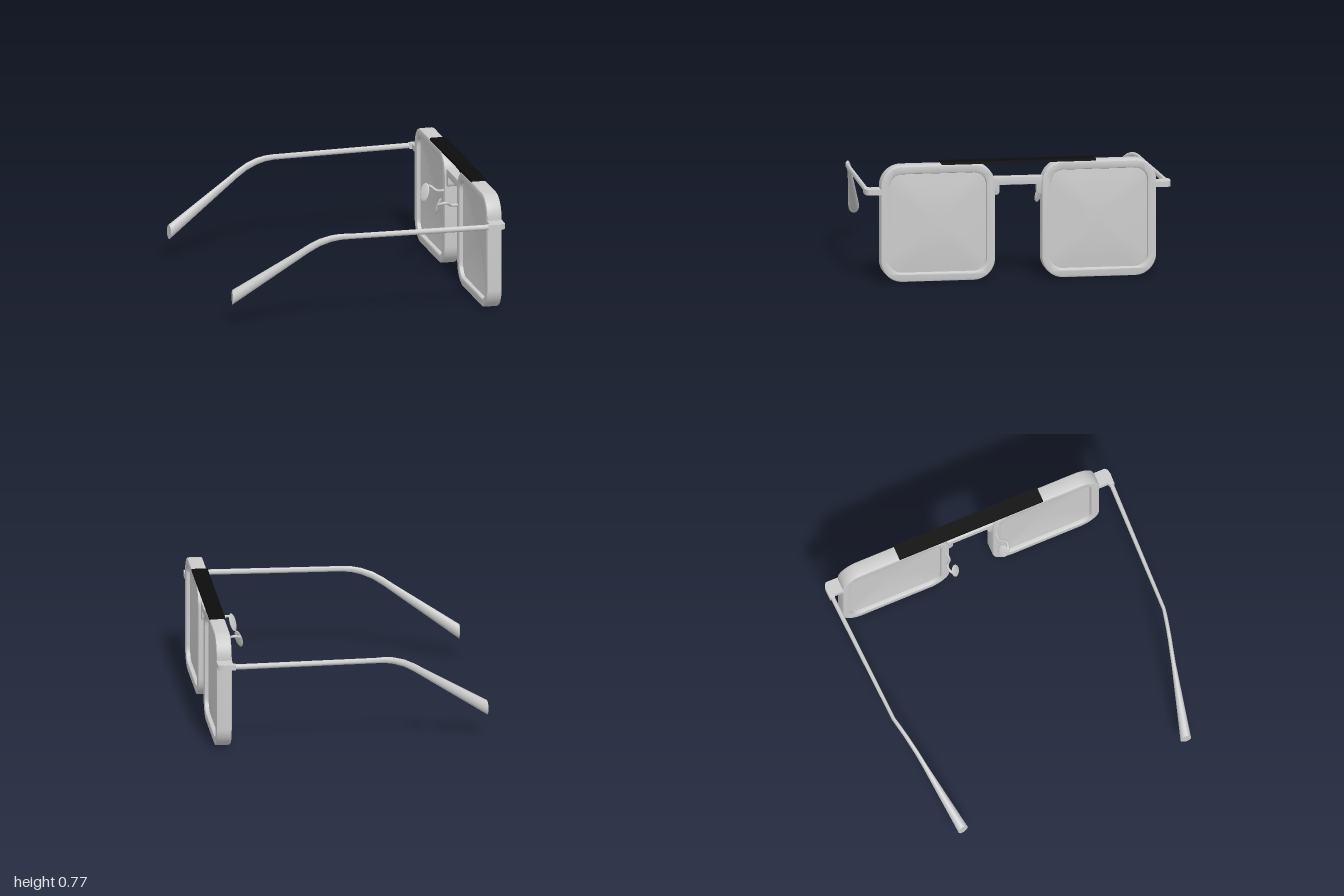
import * as THREE from 'three';
import { toCreasedNormals } from 'three/addons/utils/BufferGeometryUtils.js';

const grey = new THREE.MeshStandardMaterial({ color: 0xcccccc, side: THREE.DoubleSide });
const black = new THREE.MeshStandardMaterial({ color: 0x0c0c0c });

function part(name, geometry, material = grey) {
  const mesh = new THREE.Mesh(geometry, material);
  mesh.name = name;
  return mesh;
}

// Rounded rectangle centred on the origin
function roundedRect(w, h, r, Type = THREE.Shape) {
  const s = new Type(), x = w / 2, y = h / 2;
  s.absarc(x - r, y - r, r, 0, Math.PI / 2);
  s.absarc(-x + r, y - r, r, Math.PI / 2, Math.PI);
  s.absarc(-x + r, -y + r, r, Math.PI, Math.PI * 1.5);
  s.absarc(x - r, -y + r, r, Math.PI * 1.5, Math.PI * 2);
  s.closePath();
  return s;
}

// Skin over a list of closed rings with equal point counts
function loft(rings, crease) {
  const n = rings[0].length, index = [];
  for (let i = 0; i < rings.length - 1; i++) {
    for (let j = 0; j < n; j++) {
      const a = i * n + j, b = i * n + (j + 1) % n;
      index.push(a, b, a + n, b, b + n, a + n);
    }
  }
  const g = new THREE.BufferGeometry().setFromPoints(rings.flat());
  g.setIndex(index);
  return toCreasedNormals(g, crease);
}

// Extrude a z-y outline along x, from x0 to x1
function extrudeX(shape, x0, x1, bevel) {
  const g = new THREE.ExtrudeGeometry(shape, {
    depth: x1 - x0 - 2 * bevel, bevelEnabled: bevel > 0, bevelThickness: bevel,
    bevelSize: bevel, bevelOffset: -bevel, bevelSegments: 2, curveSegments: 8,
  });
  g.rotateY(Math.PI / 2);
  g.translate(x0 + bevel, 0, 0);
  return toCreasedNormals(g, 0.6);
}

// Frame ring around one lens
function rim() {
  const shape = roundedRect(0.745, 0.76, 0.14);
  shape.holes.push(roundedRect(0.63, 0.645, 0.08, THREE.Path));
  return part('rim', extrudeX(shape, 0.785, 0.885, 0.01));
}

// Lens curved forward, with a front and a back face
function lens() {
  const outline = roundedRect(0.65, 0.665, 0.09).getPoints(6);
  if (outline[0].distanceTo(outline[outline.length - 1]) < 1e-6) outline.pop();
  const ring = (t, x) => outline.map(p => new THREE.Vector3(x, p.y * t, -p.x * t));
  const steps = [0.001, 0.2, 0.4, 0.6, 0.8, 1];
  const rings = steps.map(t => ring(t, 0.877 - 0.02 * t * t));
  steps.slice().reverse().forEach(t => rings.push(ring(t, 0.83 - 0.02 * t * t)));
  rings.reverse();
  return part('lens', loft(rings, 0.6));
}

// Temple arm: x, y, z, height and width of each section
function temple() {
  const sections = [
    [0.86, 0.592, 0.977, 0.036, 0.032], [0.75, 0.592, 0.976, 0.036, 0.03],
    [-0.14, 0.592, 0.947, 0.036, 0.024], [-0.2, 0.59, 0.935, 0.04, 0.026],
    [-0.26, 0.579, 0.922, 0.044, 0.026], [-0.33, 0.554, 0.906, 0.05, 0.027],
    [-0.4, 0.514, 0.889, 0.056, 0.028], [-0.47, 0.466, 0.873, 0.06, 0.03],
    [-0.88, 0.193, 0.78, 0.096, 0.07],
  ];
  const rings = sections.map(([x, y, z, h, w], i) => {
    const skew = i === sections.length - 1 ? 0.14 : 0;
    return Array.from({ length: 14 }, (_, k) => {
      const a = k / 14 * Math.PI * 2;
      const dz = Math.cos(a) * w / 2;
      return new THREE.Vector3(x - dz * skew, y + Math.sin(a) * h / 2, z + dz);
    });
  });
  // End caps
  for (const [i, add] of [[0, 'unshift'], [rings.length - 1, 'push']]) {
    const [x, y, z] = sections[i];
    rings[add](rings[add === 'unshift' ? 0 : rings.length - 1].map(() => new THREE.Vector3(x, y, z)));
  }
  return part('temple', loft(rings, 0.7));
}

// End piece joining rim and temple, rounded at its outer front corner
function endPiece() {
  const s = new THREE.Shape();
  s.moveTo(0.785, -0.88);
  s.lineTo(0.885, -0.88);
  s.lineTo(0.885, -0.975);
  s.quadraticCurveTo(0.88, -0.992, 0.84, -0.998);
  s.lineTo(0.77, -0.995);
  s.lineTo(0.77, -0.962);
  s.lineTo(0.785, -0.955);
  s.closePath();
  const g = new THREE.ExtrudeGeometry(s, { depth: 0.036, bevelEnabled: false, curveSegments: 6 });
  g.rotateX(-Math.PI / 2);
  g.translate(0, 0.574, 0);
  return part('endPiece', toCreasedNormals(g, 0.6));
}

// Nose pad on its bent wire
function nosePad() {
  const group = new THREE.Group();
  group.name = 'nosePad';
  const path = new THREE.CatmullRomCurve3([
    [0.8, 0.515, 0.172], [0.74, 0.518, 0.174], [0.722, 0.53, 0.19], [0.7, 0.543, 0.207],
    [0.668, 0.54, 0.205], [0.648, 0.528, 0.19], [0.657, 0.517, 0.172],
  ].map(p => new THREE.Vector3(...p)));
  group.add(part('padWire', new THREE.TubeGeometry(path, 36, 0.009, 8)));
  const pad = part('pad', new THREE.SphereGeometry(1, 20, 14));
  pad.scale.set(0.034, 0.06, 0.008);
  pad.rotation.set(0.3, 0.9, 0, 'YXZ');
  pad.position.set(0.658, 0.515, 0.168);
  group.add(pad);
  return group;
}

// Bridge with rounded feet against the rims
function bridge() {
  const s = new THREE.Shape();
  s.moveTo(-0.175, 0.665);
  s.lineTo(0.175, 0.665);
  s.lineTo(0.175, 0.55);
  s.lineTo(0.14, 0.55);
  s.quadraticCurveTo(0.122, 0.552, 0.122, 0.575);
  s.lineTo(0.122, 0.613);
  s.lineTo(-0.122, 0.613);
  s.lineTo(-0.122, 0.575);
  s.quadraticCurveTo(-0.122, 0.552, -0.14, 0.55);
  s.lineTo(-0.175, 0.55);
  s.closePath();
  return part('bridge', extrudeX(s, 0.8, 0.865, 0.005));
}

export function createModel() {
  const model = new THREE.Group();
  model.name = 'glasses';

  for (const side of [1, -1]) {
    const half = new THREE.Group();
    half.name = side > 0 ? 'rightHalf' : 'leftHalf';
    const eye = new THREE.Group();
    eye.name = 'eye';
    eye.add(rim(), lens());
    eye.position.set(0, 0.382, 0.525);
    half.add(eye, temple(), endPiece(), nosePad());
    half.scale.z = side;
    model.add(half);
  }

  model.add(bridge());

  // Flat bar across the top
  const bar = part('topBar', new THREE.BoxGeometry(0.102, 0.016, 1.005), black);
  bar.position.set(0.835, 0.767, 0);
  model.add(bar);
  return model;
}
